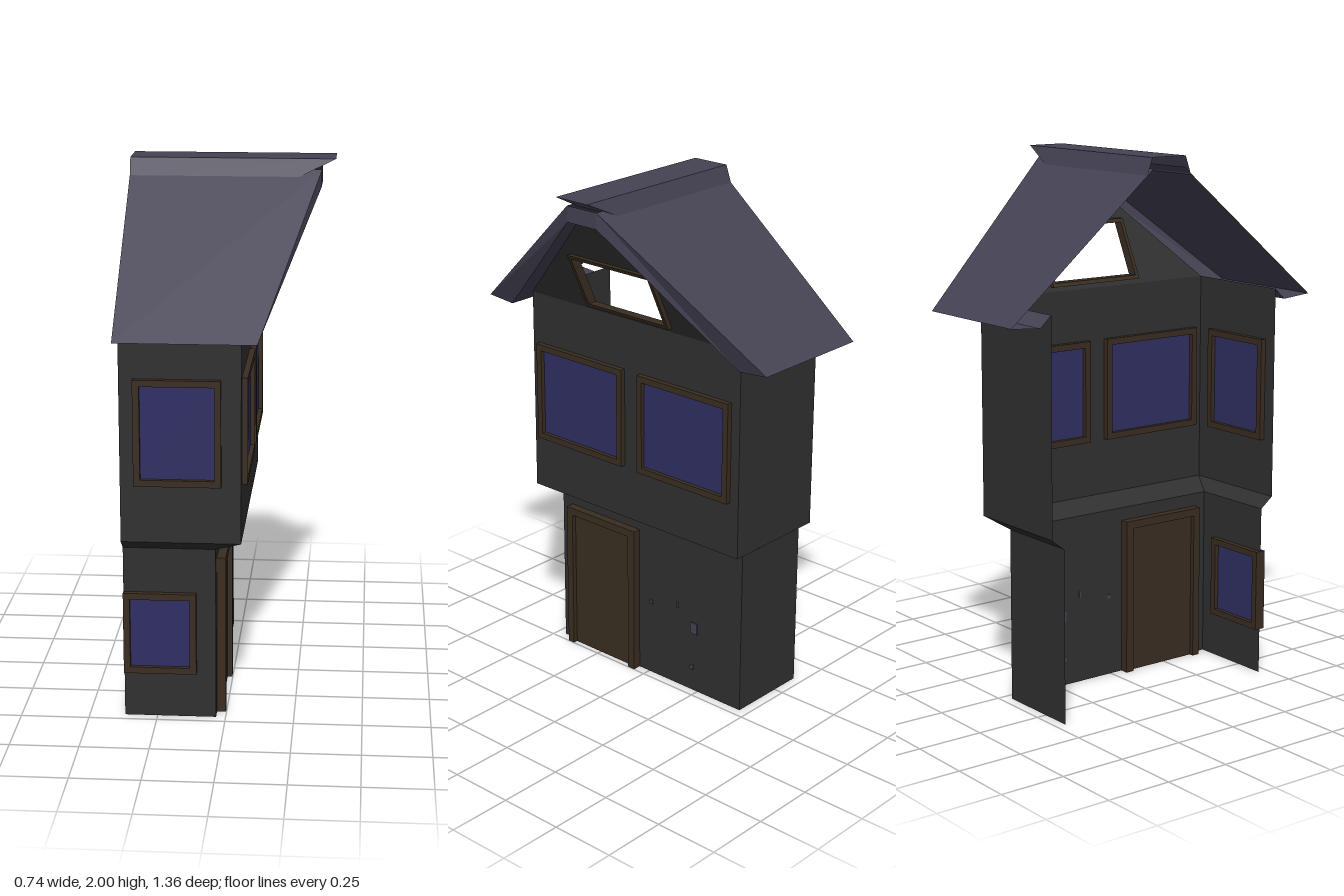
import * as THREE from 'three';

const mat = (name, color) => {
  const m = new THREE.MeshStandardMaterial({ color, side: THREE.DoubleSide });
  m.name = name;
  return m;
};

export function createModel() {
  const model = new THREE.Group();
  model.name = 'halfHouse';
  const wall = mat('dark plaster', 0x303030);
  const slate = mat('slate purple', 0x454253);
  const wood = mat('brown wood', 0x392d21);
  const glass = mat('blue glass', 0x302f63);

  const add = (name, geo, material, parent = model) => {
    const m = new THREE.Mesh(geo, material);
    m.name = name;
    parent.add(m);
    return m;
  };

  // flat faceted surface from quads of [x, y, z] corners
  const facets = (quads) => {
    const pos = [];
    for (const [a, b, c, d] of quads) pos.push(...a, ...b, ...c, ...a, ...c, ...d);
    const g = new THREE.BufferGeometry();
    g.setAttribute('position', new THREE.Float32BufferAttribute(pos, 3));
    g.computeVertexNormals();
    return g;
  };
  // the same quads plus their mirror images across z = 0
  const mirrored = (quads) => quads.concat(
    quads.map((q) => q.map(([x, y, z]) => [x, y, -z]).reverse()));

  const X0 = -0.37; // open side
  const WALL_TOP = 1.487;
  const LEAN = (0.255 - 0.06) / (1.9 - WALL_TOP); // outward lean of the gable

  // walls: U-shaped section lofted through the overhanging upper storey
  const levels = [[0, -0.035, 0.462], [0.65, -0.035, 0.462], [0.69, 0.06, 0.514], [WALL_TOP, 0.06, 0.514]];
  const ring = ([y, x, z]) => [[X0, y, z], [x, y, z], [x, y, -z], [X0, y, -z]];
  ['lowerWalls', 'overhang', 'upperWalls'].forEach((name, i) => {
    const lo = ring(levels[i]), hi = ring(levels[i + 1]);
    add(name, facets([0, 1, 2].map((j) => [lo[j], lo[j + 1], hi[j + 1], hi[j]])), wall);
  });

  // rectangle outline; u is measured along the wall
  const rect = (P, u0, u1, v0, v1) => {
    const p = new P();
    p.moveTo(u0, v0); p.lineTo(u1, v0); p.lineTo(u1, v1); p.lineTo(u0, v1); p.closePath();
    return p;
  };
  const leanOut = (geo) => {
    const p = geo.attributes.position;
    for (let i = 0; i < p.count; i++) p.setX(i, p.getX(i) + 0.06 + (p.getY(i) - WALL_TOP) * LEAN);
    geo.computeVertexNormals();
    return geo;
  };
  const frameGeo = (u0, u1, v0, v1, t, depth, bottom = t) => {
    const s = rect(THREE.Shape, u0, u1, v0, v1);
    s.holes.push(rect(THREE.Path, u0 + t, u1 - t, v0 + bottom, v1 - t));
    return new THREE.ExtrudeGeometry(s, { depth, bevelEnabled: false }).translate(0, 0, -depth / 2);
  };

  // leaning gable with an open window hole
  const gable = new THREE.Shape([[-0.514, WALL_TOP], [0.514, WALL_TOP], [0.07, 1.9], [-0.07, 1.9]]
    .map(([u, v]) => new THREE.Vector2(u, v)));
  gable.holes.push(rect(THREE.Path, -0.19, 0.19, 1.517, 1.713));
  add('gableWall', leanOut(new THREE.ShapeGeometry(gable).rotateY(Math.PI / 2)), wall);
  add('gableWindowFrame', leanOut(frameGeo(-0.2, 0.2, 1.505, 1.725, 0.014, 0.04).rotateY(Math.PI / 2)), wood);

  // framed windows
  const windowAt = (name, u0, u1, v0, v1, pos, side) => {
    const g = new THREE.Group();
    g.name = name;
    add('windowFrame', frameGeo(u0, u1, v0, v1, 0.024, 0.042), wood, g);
    add('windowPane', new THREE.BoxGeometry(u1 - u0 - 0.04, v1 - v0 - 0.04, 0.009)
      .translate((u0 + u1) / 2, (v0 + v1) / 2, 0), glass, g);
    if (side) { g.rotation.y = Math.PI / 2; g.position.x = pos; } else g.position.z = pos;
    model.add(g);
  };
  windowAt('upperFrontWindow', -0.32, -0.01, 0.903, 1.29, 0.514, false);
  windowAt('lowerFrontWindow', -0.37, -0.105, 0.173, 0.482, 0.462, false);
  windowAt('sideWindowFront', -0.48, -0.04, 0.903, 1.29, 0.06, true);
  windowAt('sideWindowBack', 0.038, 0.475, 0.903, 1.29, 0.06, true);

  // door with jambs and lintel
  const door = new THREE.Group();
  door.name = 'door';
  const jambs = new THREE.Shape([[-0.413, 0], [-0.383, 0], [-0.383, 0.57], [-0.085, 0.57], [-0.085, 0],
    [-0.052, 0], [-0.052, 0.6], [-0.413, 0.6]].map(([u, v]) => new THREE.Vector2(u, v)));
  add('doorFrame', new THREE.ExtrudeGeometry(jambs, { depth: 0.066, bevelEnabled: false })
    .translate(0, 0, -0.033), wood, door);
  add('doorPanel', new THREE.BoxGeometry(0.3, 0.57, 0.03).translate(-0.234, 0.285, 0), wood, door);
  door.rotation.y = Math.PI / 2;
  door.position.x = -0.035;
  model.add(door);

  // small stone chips on the lower side wall
  for (const [z, y, w, h] of [[-0.23, 0.27, 0.034, 0.046], [-0.01, 0.31, 0.014, 0.016],
    [-0.147, 0.345, 0.008, 0.024], [-0.222, 0.1, 0.016, 0.018]]) {
    add('stoneChip', new THREE.BoxGeometry(0.008, h, w).translate(-0.034, y, z), slate);
  }

  // roof: outer slopes, eaves, flared gable rim and overhang undersides
  const eaveOut = [0.125, 1.455, 0.68], eaveIn = [0.125, 1.445, 0.56];
  const topOut = [0.32, 1.96, 0.07], topIn = [0.32, 1.9, 0.07];
  const wallTop = [0.06, WALL_TOP, 0.514], gableTop = [0.255, 1.9, 0.07];
  const open = ([, y, z]) => [X0, y, z];
  const flip = ([x, y, z]) => [x, y, -z];
  add('roofSlopes', facets(mirrored([[open(eaveOut), eaveOut, topOut, open(topOut)]])), slate);
  add('roofEaves', facets(mirrored([[open(eaveIn), eaveIn, eaveOut, open(eaveOut)]])), slate);
  add('roofRim', facets([
    ...mirrored([[eaveOut, eaveIn, topIn, topOut]]),
    [topOut, topIn, flip(topIn), flip(topOut)],
  ]), slate);
  add('roofUnderside', facets([
    ...mirrored([
      [open(wallTop), wallTop, eaveIn, open(eaveIn)],
      [eaveIn, wallTop, gableTop, topIn],
    ]),
    [topIn, gableTop, flip(gableTop), flip(topIn)],
  ]), slate);

  // ridge cap with an undercut end
  const capTop = [0.37, 2, 0.075], capLow = [0.225, 1.93, 0.1];
  add('ridgeCap', facets([
    ...mirrored([[open(capLow), capLow, capTop, open(capTop)]]),
    [open(capTop), capTop, flip(capTop), open(flip(capTop))],
    [capTop, capLow, flip(capLow), flip(capTop)],
  ]), slate);

  return model;
}
